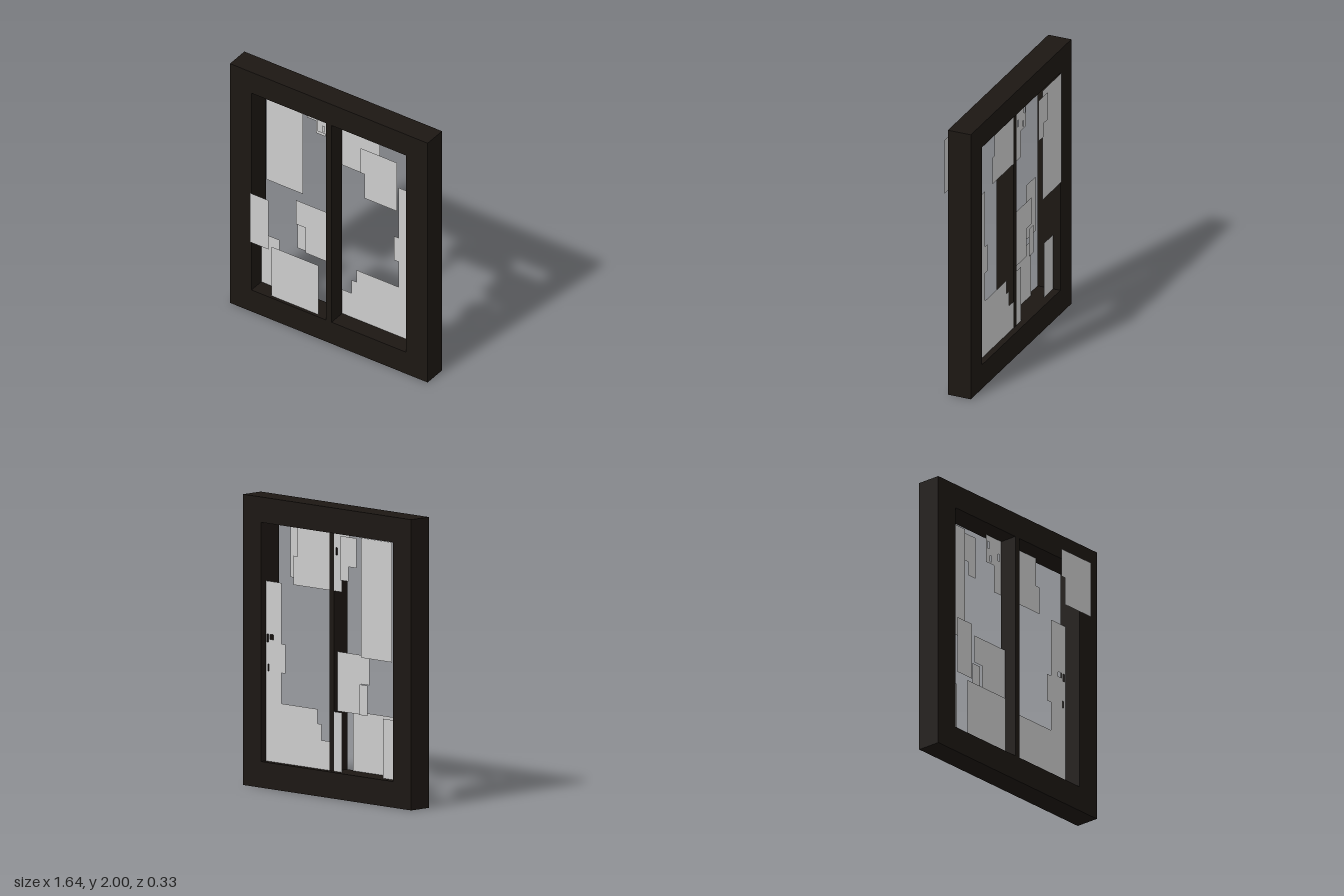
import * as THREE from 'three';

const FRAME = new THREE.MeshStandardMaterial({ color: 0x1c1713 });
const GLASS = new THREE.MeshStandardMaterial({ color: 0xcccccc, side: THREE.DoubleSide });

// Opening of the frame, half width of the mullion, and the plane of the glazing
const X = 0.64, BOTTOM = 0.18, TOP = 1.825, BAR = 0.023, PLANE = -0.07;

const points = (list) => list.map(([x, y]) => new THREE.Vector2(x, y));
const rect = (x0, y0, x1, y1) => [[x0, y0], [x1, y0], [x1, y1], [x0, y1]];

// Flat piece of glass from an outline, with optional chipped holes
function pane(name, z, outline, holes = []) {
  const shape = new THREE.Shape(points(outline));
  for (const h of holes) shape.holes.push(new THREE.Path(points(h)));
  const mesh = new THREE.Mesh(new THREE.ShapeGeometry(shape), GLASS);
  mesh.name = name;
  mesh.position.z = z;
  return mesh;
}

export function createModel() {
  const group = new THREE.Group();
  group.name = 'brokenWindow';

  // Outer frame
  const outline = new THREE.Shape(points(rect(-0.818, 0, 0.818, 2)));
  outline.holes.push(new THREE.Path(points(rect(-X, BOTTOM, X, TOP))));
  const frame = new THREE.Mesh(
    new THREE.ExtrudeGeometry(outline, { depth: 0.172, bevelEnabled: false }), FRAME);
  frame.name = 'frame';
  frame.position.z = -0.115;
  group.add(frame);

  // Centre bar
  const mullion = new THREE.Mesh(new THREE.BoxGeometry(BAR * 2, TOP - BOTTOM, 0.127), FRAME);
  mullion.name = 'mullion';
  mullion.position.set(0, (TOP + BOTTOM) / 2, -0.0065);
  group.add(mullion);

  // Glass still in place, stepped along the break
  group.add(
    pane('rightUpperGlass', PLANE, [
      [BAR, 1.42], [0.37, 1.42], [0.37, 1.62], [0.335, 1.62], [0.335, TOP], [BAR, TOP]]),
    pane('rightLowerGlass', PLANE, [
      [BAR, BOTTOM], [X, BOTTOM], [X, 1.42], [0.49, 1.42], [0.49, 1.0], [0.45, 1.0],
      [0.45, 0.8], [0.49, 0.8], [0.49, 0.59], [0.14, 0.59], [0.14, 0.49], [0.10, 0.49],
      [0.10, 0.38], [BAR, 0.38]], [
      rect(0.565, 1.02, 0.6, 1.055), rect(0.615, 1.0, 0.63, 1.055), rect(0.61, 0.8, 0.62, 0.85)]),
    pane('leftUpperGlass', PLANE, [
      [-0.10, 1.42], [-BAR, 1.42], [-BAR, TOP], [-0.18, TOP], [-0.18, 1.62], [-0.10, 1.62]], [
      rect(-0.165, 1.73, -0.145, 1.78), rect(-0.14, 1.635, -0.125, 1.68),
      rect(-0.057, 1.67, -0.042, 1.72)]),
    pane('leftLowerGlass', PLANE, rect(-0.10, BOTTOM, -BAR, 0.59)),
  );

  // Loose shards drifting in front of and behind the frame
  group.add(
    pane('tallShard', -0.122, rect(-X, 1.0, -0.337, TOP)),
    pane('frontLeftShard', 0.073, rect(-X, 0.59, -0.49, 1.0)),
    pane('lowerLeftShard', -0.06, rect(-X, BOTTOM, -0.49, 0.59)),
    pane('lowerWideShard', 0.035, rect(-0.49, BOTTOM, -0.10, 0.59)),
    pane('middleShard', -0.037, [
      [-0.257, 0.59], [-BAR, 0.59], [-BAR, 1.0], [-0.335, 1.0], [-0.335, 0.8], [-0.257, 0.8]]),
    pane('middleSliver', -0.055, rect(-0.335, 0.59, -0.257, 0.8)),
    pane('rearTopShard', -0.163, [
      [-0.335, 1.62], [-0.257, 1.62], [-0.257, 1.52], [-0.18, 1.52], [-0.18, TOP], [-0.335, TOP]]),
    pane('frontTopShard', 0.163, [
      [0.37, 1.42], [X, 1.42], [X, TOP], [0.335, TOP], [0.335, 1.62], [0.37, 1.62]]),
  );
  return group;
}
